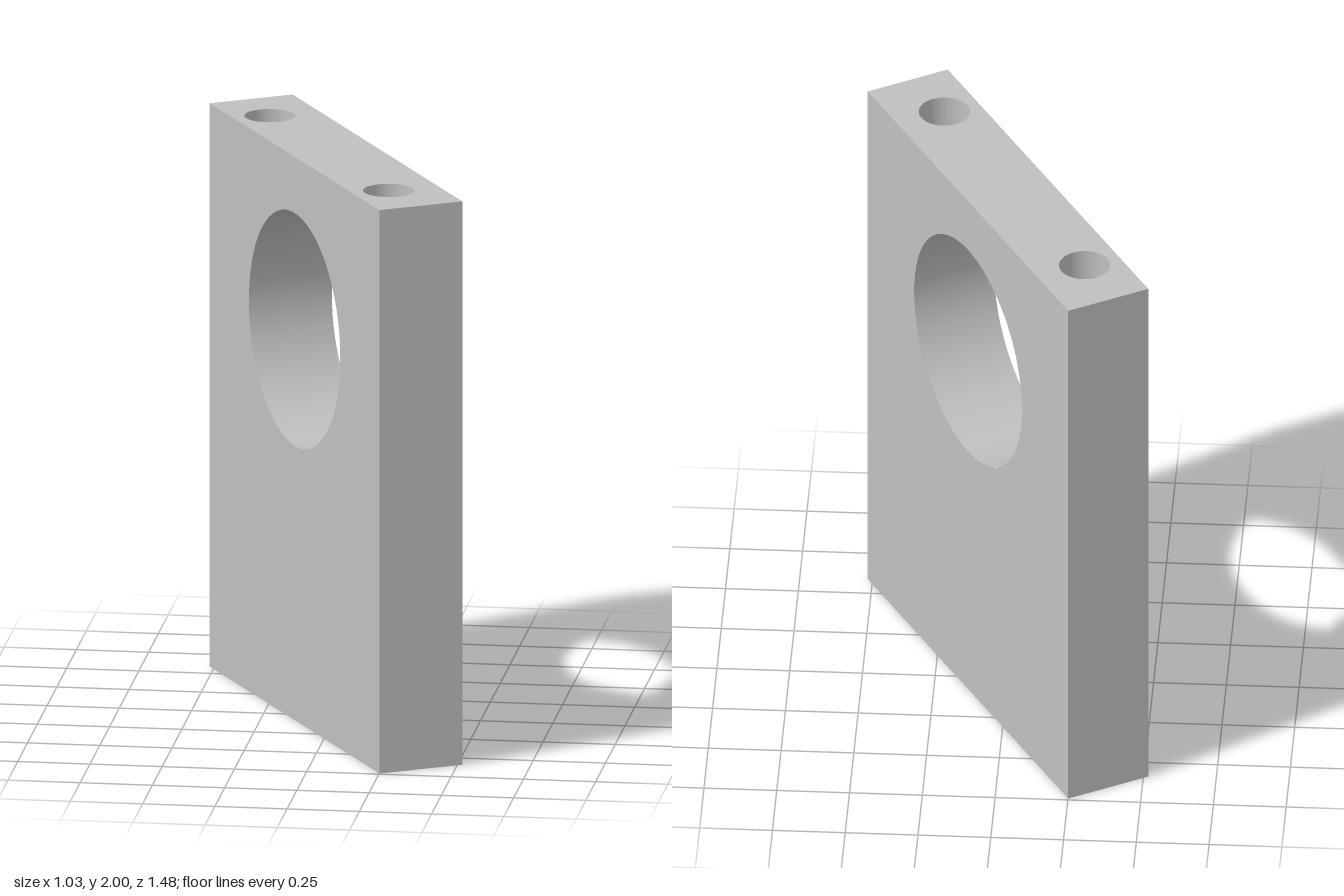
import * as THREE from 'three';

const WIDTH = 1.535, HEIGHT = 2, DEPTH = 0.307;
const BORE = { radius: 0.413, y: 1.387 };
const PIN = { radius: 0.088, x: 0.537, z: 0.025 };

// Rectangular face centred on the origin, pierced by round holes [x, y, radius]
function face(w, h, holes = []) {
  const shape = new THREE.Shape([
    new THREE.Vector2(-w / 2, -h / 2), new THREE.Vector2(w / 2, -h / 2),
    new THREE.Vector2(w / 2, h / 2), new THREE.Vector2(-w / 2, h / 2),
  ]);
  for (const [x, y, r] of holes) shape.holes.push(new THREE.Path().absarc(x, y, r, 0, Math.PI * 2, true));
  return new THREE.ShapeGeometry(shape, 64);
}

// Inward-facing wall of a round hole running along y
function holeWall(radius, length) {
  return new THREE.LatheGeometry(
    [new THREE.Vector2(radius, length / 2), new THREE.Vector2(radius, -length / 2)], 64);
}

export function createModel() {
  const grey = new THREE.MeshStandardMaterial({ color: 0xc0c0c0 });
  grey.name = 'plain grey';
  const model = new THREE.Group();
  model.name = 'mountingPlate';

  const plate = new THREE.Group();
  plate.name = 'plate';
  plate.rotation.y = -Math.PI / 3;
  model.add(plate);

  function add(name, geometry, x, y, z) {
    const mesh = new THREE.Mesh(geometry, grey);
    mesh.name = name;
    mesh.position.set(x, y, z);
    plate.add(mesh);
  }

  // Broad faces with the large bore
  const boreHole = [[0, BORE.y - HEIGHT / 2, BORE.radius]];
  add('frontFace', face(WIDTH, HEIGHT, boreHole), 0, HEIGHT / 2, DEPTH / 2);
  add('backFace', face(WIDTH, HEIGHT, boreHole).rotateY(Math.PI), 0, HEIGHT / 2, -DEPTH / 2);
  add('boreWall', holeWall(BORE.radius, DEPTH).rotateX(Math.PI / 2), 0, BORE.y, 0);

  // Top and bottom edges with the pin holes
  const pinHoles = (y) => [-1, 1].map((s) => [s * PIN.x, y, PIN.radius]);
  add('topEdge', face(WIDTH, DEPTH, pinHoles(-PIN.z)).rotateX(-Math.PI / 2), 0, HEIGHT, 0);
  add('bottomEdge', face(WIDTH, DEPTH, pinHoles(PIN.z)).rotateX(Math.PI / 2), 0, 0, 0);

  // Narrow sides and the long vertical pin holes
  for (const [side, s] of [['left', 1], ['right', -1]]) {
    add(side + 'Edge', face(DEPTH, HEIGHT).rotateY(s * Math.PI / 2), s * WIDTH / 2, HEIGHT / 2, 0);
    add(side + 'PinHoleWall', holeWall(PIN.radius, HEIGHT), s * PIN.x, HEIGHT / 2, PIN.z);
  }
  return model;
}
